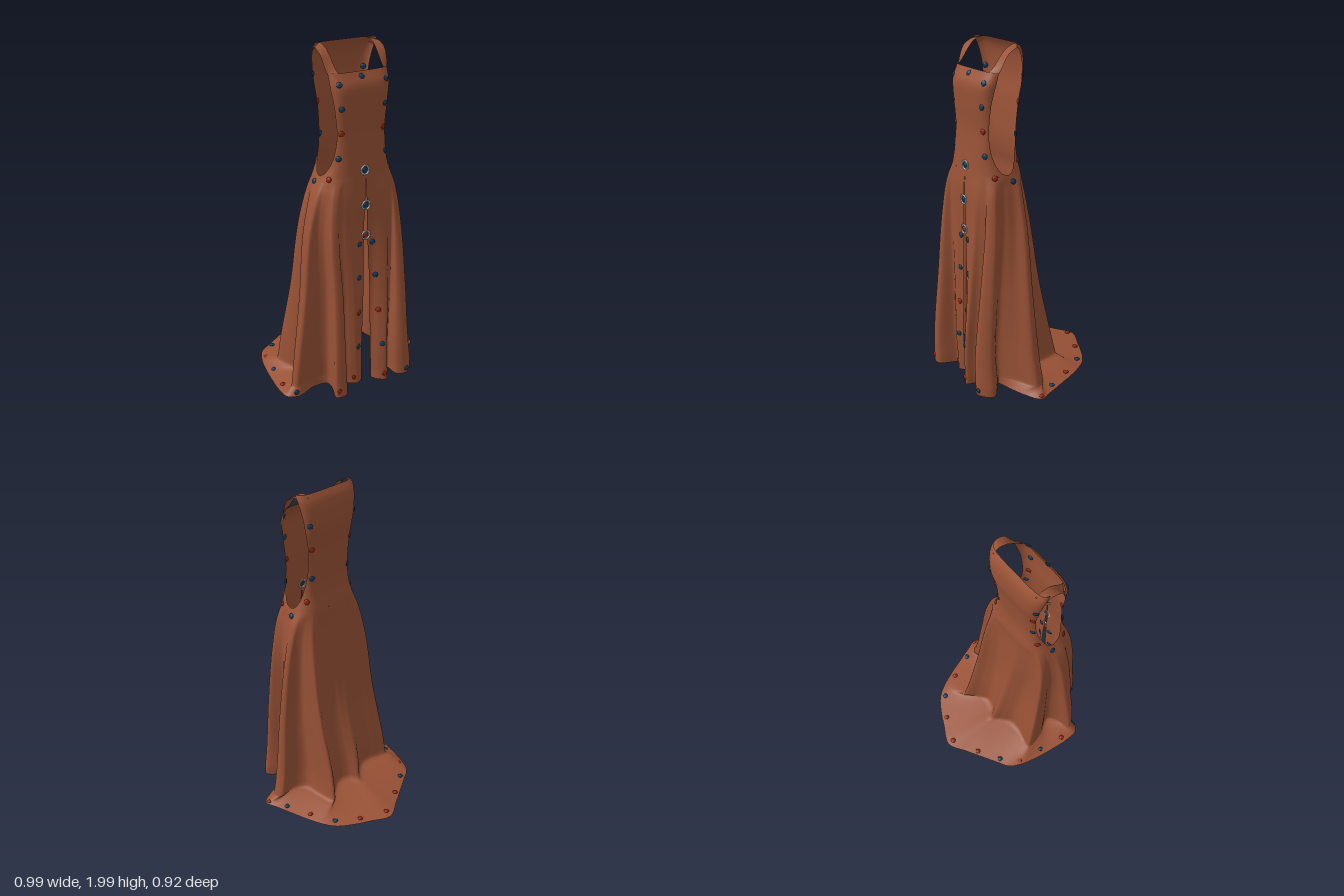
import * as THREE from 'three';

const TAU = Math.PI * 2;

// y, centre x, half width, front z, middle z, back z
const BODY = [
  [0.06, 0, 0.415, 0.41, 0.16, -0.16], [0.2, -0.008, 0.395, 0.41, 0.17, -0.13],
  [0.6, -0.006, 0.35, 0.39, 0.18, -0.03], [1.0, -0.012, 0.305, 0.365, 0.19, 0.03],
  [1.2, -0.012, 0.256, 0.355, 0.2, 0.055], [1.3, -0.01, 0.212, 0.34, 0.2, 0.065],
  [1.38, -0.009, 0.185, 0.332, 0.2, 0.08], [1.45, -0.008, 0.174, 0.325, 0.2, 0.086],
  [1.55, -0.007, 0.171, 0.32, 0.2, 0.082], [1.7, -0.006, 0.18, 0.328, 0.2, 0.068],
  [1.8, -0.005, 0.19, 0.324, 0.185, 0.053], [1.865, -0.004, 0.197, 0.287, 0.175, 0.053],
  [1.93, -0.004, 0.202, 0.28, 0.17, 0.06], [1.97, -0.003, 0.203, 0.28, 0.165, 0.073],
  [2.0, -0.003, 0.198, 0.28, 0.165, 0.094],
];
// y, front edge z, back edge z of the armhole
const ARMHOLE = [
  [1.3, 0.2, 0.2], [1.31, 0.23, 0.178], [1.33, 0.25, 0.16], [1.4, 0.278, 0.135], [1.5, 0.29, 0.114],
  [1.6, 0.289, 0.103], [1.7, 0.283, 0.095], [1.8, 0.262, 0.092], [1.865, 0.245, 0.094],
  [1.95, 0.204, 0.114], [2.0, 0.17, 0.14],
];
// Skirt fold line near the floor, from the slit round the back to the slit (x, z)
const FOOT = [
  [0.03, 0.37], [0.058, 0.418], [0.1, 0.44], [0.126, 0.385], [0.175, 0.345], [0.182, 0.425], [0.235, 0.45],
  [0.31, 0.388], [0.25, 0.32], [0.21, 0.285], [0.32, 0.22], [0.43, 0.165], [0.412, 0.105], [0.33, 0.115],
  [0.245, 0.07], [0.23, -0.04], [0.21, -0.155], [0.14, -0.09], [0.07, -0.05], [0, -0.07], [-0.045, -0.12],
  [-0.09, -0.08], [-0.15, -0.035], [-0.22, -0.03], [-0.3, -0.05], [-0.365, -0.06], [-0.35, 0.06],
  [-0.3, 0.16], [-0.35, 0.21], [-0.445, 0.24], [-0.43, 0.28], [-0.28, 0.26], [-0.222, 0.285],
  [-0.23, 0.35], [-0.26, 0.435], [-0.195, 0.445], [-0.135, 0.34], [-0.1, 0.362], [-0.07, 0.378], [-0.03, 0.358],
];
// Outer edge of the train, replacing fold points 10 to 31
const TRAIN = [
  [0.3, 0.26], [0.4, 0.23], [0.49, 0.18], [0.47, 0.1], [0.44, 0], [0.41, -0.1], [0.375, -0.195],
  [0.325, -0.28], [0.25, -0.34], [0.14, -0.402], [0.02, -0.46], [-0.1, -0.4], [-0.2, -0.345], [-0.3, -0.29],
  [-0.375, -0.245], [-0.42, -0.17], [-0.455, -0.06], [-0.48, 0.06], [-0.497, 0.18], [-0.49, 0.27],
  [-0.43, 0.3], [-0.3, 0.265],
];

const spline = (rows) => new THREE.CubicInterpolant(
  rows.map((r) => r[0]), rows.flatMap((r) => r.slice(1)), rows[0].length - 1);
const floorCurve = (pts) => new THREE.CatmullRomCurve3(pts.map(([x, z]) => new THREE.Vector3(x, 0, z)));

const bodySpline = spline(BODY), armSpline = spline(ARMHOLE);
const footCurve = floorCurve(FOOT);
const hemCurve = floorCurve([...FOOT.slice(0, 10), ...TRAIN, ...FOOT.slice(32)]);

// Exponent of the section: squarer in the bodice, rounder in the skirt
const boxiness = (y) => THREE.MathUtils.clamp(0.6 + (1.3 - y) * (y > 1.3 ? 1 : 0.24), 0.46, 0.9);
const signedPow = (v, p) => Math.sign(v) * Math.abs(v) ** p;

// Smooth rounded-box section of the body at angle a (0 = front, quarter turn = +x)
function section(a, y) {
  const [cx, w, zf, mid, zb] = bodySpline.evaluate(y);
  const p = boxiness(y), c = signedPow(Math.cos(a), p);
  return [cx + w * signedPow(Math.sin(a), p), y, mid + c * (c > 0 ? zf - mid : mid - zb)];
}

// Section plus folds that deepen towards the floor
function cloth(a, y) {
  const pt = section(a, y);
  if (y >= 1.28) return pt;
  const s = ((1.28 - y) / 1.22) ** 0.8;
  const base = section(a, 0.06), foot = footCurve.getPoint(a / TAU);
  return [pt[0] + s * (foot.x - base[0]), y, pt[2] + s * (foot.z - base[2])];
}

// Grid surface from a rule (u, v) -> [x, y, z]
function sheet(rule, nu, nv) {
  const pos = [], idx = [];
  for (let j = 0; j <= nv; j++) for (let i = 0; i <= nu; i++) pos.push(...rule(i / nu, j / nv));
  for (let j = 0; j < nv; j++) for (let i = 0; i < nu; i++) {
    const a = j * (nu + 1) + i, b = a + nu + 1;
    idx.push(a, b, a + 1, a + 1, b, b + 1);
  }
  const g = new THREE.BufferGeometry();
  g.setAttribute('position', new THREE.Float32BufferAttribute(pos, 3));
  g.setIndex(idx);
  g.computeVertexNormals();
  return g;
}

function skirtRule(u, v) {
  if (v <= 0.85) return cloth(u * TAU, 1.3 - 1.24 * (v / 0.85));
  // Last rows spread flat along the floor
  const k = (v - 0.85) / 0.15;
  const p = footCurve.getPoint(u).lerp(hemCurve.getPoint(u), k);
  return [p.x, 0.06 - 0.052 * k ** 1.2, p.z];
}

// Bodice panel ending sideways at the armhole edge
function panelRule(isFront, top) {
  return (u, v) => {
    const y = 1.3 + (top - 1.3) * v ** 2;
    const [, , zf, mid, zb] = bodySpline.evaluate(y);
    const [af, ab] = armSpline.evaluate(y);
    const ratio = isFront ? (af - mid) / (zf - mid) : (mid - ab) / (mid - zb);
    const limit = Math.acos(THREE.MathUtils.clamp(ratio, 0, 1) ** (1 / boxiness(y)));
    return section((isFront ? 0 : Math.PI) + (u * 2 - 1) * limit, y);
  };
}

export function createModel() {
  const dress = new THREE.Group();
  dress.name = 'dress';
  const material = (name, color, extra = {}) => Object.assign(new THREE.MeshStandardMaterial({ color, ...extra }), { name });
  const fabric = material('rust fabric', 0x995236, { side: THREE.DoubleSide });
  const blue = material('blue stud', 0x0b3c5e);
  const red = material('red stud', 0x8e220d);
  const pale = material('pale ring', 0xc0c4cc);
  const add = (name, geo, mat, parent = dress) => {
    const m = new THREE.Mesh(geo, mat);
    m.name = name;
    parent.add(m);
    return m;
  };

  add('skirt', sheet(skirtRule, 312, 70), fabric);
  add('bodiceFront', sheet(panelRule(true, 1.865), 64, 48), fabric);
  add('bodiceBack', sheet(panelRule(false, 2.0), 64, 56), fabric);

  // Shoulder straps: ribbons between an inner and an outer edge
  const edge = (pts) => new THREE.CatmullRomCurve3(pts.map((p) => new THREE.Vector3(...p)));
  const inner = edge([[0.145, 1.862, 0.28], [0.148, 1.89, 0.25], [0.15, 1.945, 0.206], [0.152, 1.982, 0.167], [0.154, 2.0, 0.115], [0.154, 1.985, 0.084]]);
  const outer = edge([[0.193, 1.86, 0.247], [0.202, 1.9, 0.23], [0.207, 1.95, 0.203], [0.207, 1.974, 0.17], [0.204, 1.984, 0.135], [0.202, 1.95, 0.112]]);
  for (const side of [1, -1]) {
    const rule = (u, v) => {
      const p = inner.getPoint(v).lerp(outer.getPoint(v), u);
      return [side * p.x - 0.004, p.y, p.z];
    };
    add(side > 0 ? 'leftStrap' : 'rightStrap', sheet(rule, 6, 24), fabric);
  }

  // Studs: flattened domes lying on the cloth along its normal
  const studs = new THREE.Group();
  studs.name = 'studs';
  dress.add(studs);
  const dome = new THREE.SphereGeometry(0.016, 16, 12).scale(1, 0.45, 1);
  const up = new THREE.Vector3(0, 1, 0), ahead = new THREE.Vector3(0, 0, 1);
  const stud = (mat, [x, y, z], normal) => {
    const m = add('stud', dome, mat, studs);
    m.position.set(x, y, z);
    m.quaternion.setFromUnitVectors(up, normal.clone().normalize());
  };
  // Puts a stud on the cloth nearest to x within an angle range
  const studOn = (mat, x, y, from, to) => {
    let best = from;
    for (let i = 0; i <= 160; i++) {
      const a = from + (to - from) * i / 160;
      if (Math.abs(cloth(a, y)[0] - x) < Math.abs(cloth(best, y)[0] - x)) best = a;
    }
    const at = (a, h) => new THREE.Vector3(...cloth(THREE.MathUtils.clamp(a, 0, TAU), h));
    const across = at(best + 0.03, y).sub(at(best - 0.03, y));
    const along = at(best, y + 0.02).sub(at(best, y - 0.02));
    stud(mat, cloth(best, y), across.cross(along));
  };

  // Bodice edges, front and back, and under the arms
  for (const s of [1, -1]) {
    const from = s > 0 ? 0 : TAU - 1.5;
    for (const [mat, x, y] of [[blue, 0.148, 1.81], [blue, 0.138, 1.68], [red, 0.135, 1.545], [blue, 0.152, 1.41]])
      studOn(mat, s * x - 0.012, y, from, from + 1.5);
    const back = s > 0 ? 1.7 : Math.PI;
    for (const [mat, x, y] of [[blue, 0.168, 1.83], [red, 0.145, 1.68], [blue, 0.138, 1.5], [red, 0.172, 1.36]])
      studOn(mat, s * x - 0.01, y, back, back + 1.44);
    stud(red, [s * 0.203 - 0.01, 1.295, 0.283], new THREE.Vector3(s, 0.3, 0.6));
    stud(blue, [s * 0.23 - 0.01, 1.265, 0.18], new THREE.Vector3(s, 0.4, 0));
  }
  studOn(blue, -0.012, 1.84, TAU - 0.4, TAU);

  // Slit edges
  for (const [mat, y, left, right] of [[blue, 0.9, 0.03, -0.052], [blue, 0.695, 0.045, -0.055], [red, 0.475, 0.055, -0.06], [blue, 0.255, 0.07, -0.066]]) {
    studOn(mat, left, y, 0, 0.4);
    studOn(mat, right, y, TAU - 0.4, TAU);
  }

  // Ringed studs on the front seam
  for (const [mat, y] of [[blue, 1.33], [blue, 1.13], [red, 0.95]]) {
    const z = cloth(0, y)[2] + 0.002;
    stud(mat, [-0.013, y, z], ahead);
    add('studRing', new THREE.TorusGeometry(0.025, 0.005, 8, 24), pale, studs).position.set(-0.013, y, z);
  }

  // Train edge
  const train = [
    [red, 0.015, -0.42], [red, 0.175, -0.348], [blue, 0.3, -0.255], [red, 0.37, -0.105], [blue, 0.425, 0.05], [red, 0.473, 0.165],
    [red, -0.155, -0.34], [blue, -0.295, -0.26], [red, -0.39, -0.16], [blue, -0.425, -0.005], [red, -0.46, 0.16],
  ];
  for (const [mat, x, z] of train) {
    // Lies higher the further it sits from the edge
    let gap = 1;
    for (const p of hemCurve.getPoints(300)) gap = Math.min(gap, Math.hypot(p.x - x, p.z - z));
    stud(mat, [x, 0.012 + gap * 0.28, z], up);
  }

  // Front hem
  for (const [mat, x, y, z] of [[blue, -0.44, 0.03, 0.29], [red, -0.245, 0.05, 0.445], [red, -0.09, 0.05, 0.368], [red, 0.085, 0.05, 0.438], [blue, 0.24, 0.04, 0.45]])
    stud(mat, [x, y, z], ahead);

  return dress;
}
